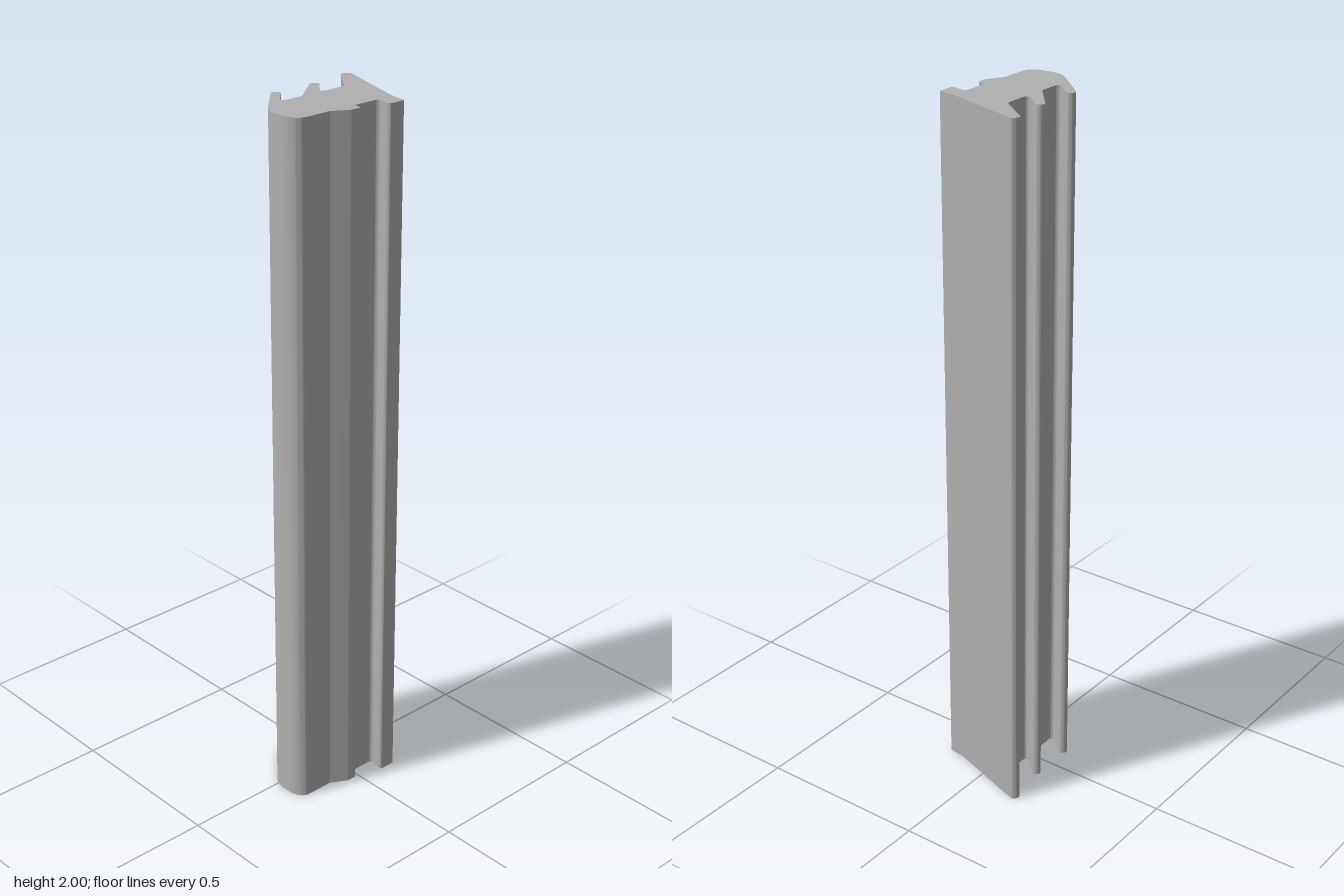
import * as THREE from 'three';
import { toCreasedNormals } from 'three/addons/utils/BufferGeometryUtils.js';

// Turns [x, z, radius] corners into an outline whose corners are circular fillets.
function filletedShape(corners) {
  const points = [];
  const n = corners.length;
  const at = (i) => new THREE.Vector2(corners[(i + n) % n][0], -corners[(i + n) % n][1]);
  for (let i = 0; i < n; i++) {
    const p = at(i);
    const r = corners[i][2];
    if (!r) { points.push(p); continue; }
    const a = at(i - 1).sub(p).normalize();
    const b = at(i + 1).sub(p).normalize();
    const half = Math.acos(THREE.MathUtils.clamp(a.dot(b), -1, 1)) / 2;
    const centre = p.clone().addScaledVector(a.clone().add(b).normalize(), r / Math.sin(half));
    const tangent = r / Math.tan(half);
    const start = p.clone().addScaledVector(a, tangent).sub(centre);
    const end = p.clone().addScaledVector(b, tangent).sub(centre);
    const sweep = Math.atan2(start.cross(end), start.dot(end));
    const steps = Math.max(3, Math.ceil(Math.abs(sweep) / 0.2));
    for (let k = 0; k <= steps; k++) {
      points.push(start.clone().rotateAround(new THREE.Vector2(), sweep * k / steps).add(centre));
    }
  }
  return new THREE.Shape(points);
}

export function createModel() {
  const rubber = new THREE.MeshStandardMaterial({ color: 0xb0b0b0 });
  rubber.name = 'grey rubber';

  const profile = filletedShape([
    // long back fin
    [-0.1437, -0.21, 0.0138], [-0.157, -0.188, 0.0138], [-0.0527, -0.105, 0.022],
    // middle fin
    [-0.0527, -0.016, 0.009], [-0.1188, -0.0777, 0.0125], [-0.1375, -0.0616, 0.0125], [-0.0527, 0.041, 0.022],
    // front fin
    [-0.0527, 0.117, 0.009], [-0.1193, 0.055, 0.0128], [-0.1375, 0.0738, 0.0128],
    // rounded nose
    [-0.001, 0.2027, 0.073], [0.0705, 0.2027, 0.0625], [0.1009, 0.184, 0.03],
    // small wedge lug
    [0.1009, 0.0875, 0], [0.1277, 0.039, 0.005], [0.1277, 0.0065, 0.009], [0.1009, 0.005, 0.008],
    // back lip
    [0.1009, -0.079, 0.009], [0.1509, -0.068, 0.009], [0.1509, -0.1223, 0.006], [0.1027, -0.127, 0.14],
  ]);

  // Extrude the cross-section and stand it upright
  const geometry = new THREE.ExtrudeGeometry(profile, { depth: 2, bevelEnabled: false });
  geometry.rotateX(-Math.PI / 2);
  const strip = new THREE.Mesh(toCreasedNormals(geometry, 0.5), rubber);
  strip.name = 'sealStrip';

  const group = new THREE.Group();
  group.name = 'sealProfile';
  group.add(strip);
  return group;
}
